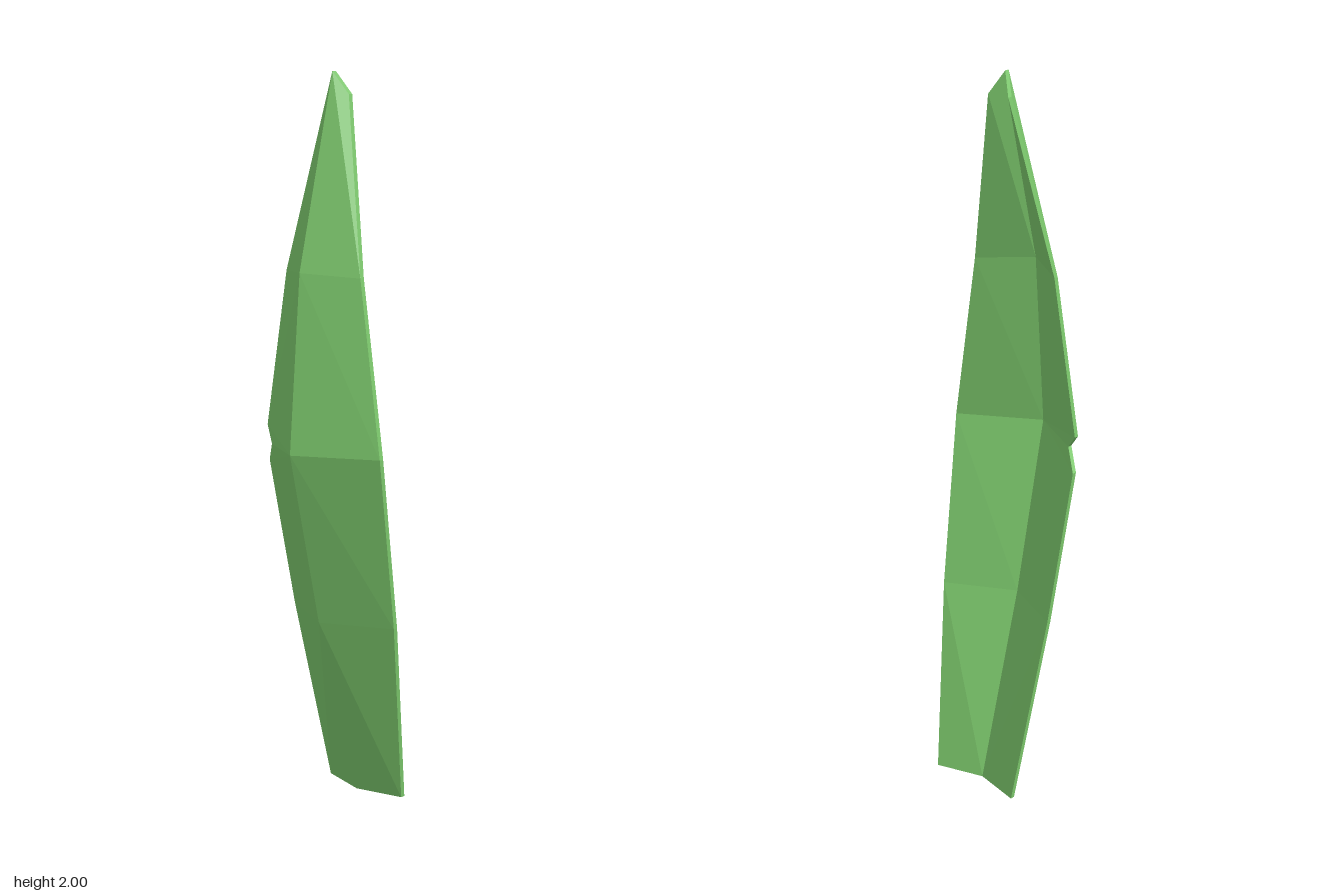
import * as THREE from 'three';

const THICKNESS = 0.013;

// Midrib points, base to tip
const rib = [
  [-0.01, 0, -0.11], [0, 0.52, 0.05], [0, 1, 0.157], [-0.012, 1.48, 0.108], [-0.018, 2, -0.02],
];

// Rim points of each half, each tied to a midrib point
const leftRim = [
  [0, [0.127, 0, -0.147]], [1, [0.19, 0.52, -0.046]], [2, [0.213, 1, 0.036]],
  [3, [0.127, 1.47, 0.022]], [4, [0.016, 1.94, -0.047]],
];
// The repeated midrib point carries the small notch
const rightRim = [
  [0, [-0.15, 0, -0.147]], [1, [-0.192, 0.52, -0.046]],
  [2, [-0.215, 0.94, 0.027]], [2, [-0.17, 0.995, 0.061]], [2, [-0.213, 1.04, 0.036]],
  [3, [-0.15, 1.47, 0.022]], [4, [-0.052, 1.94, -0.047]],
];

const behind = ([x, y, z]) => [x, y, z - THICKNESS];

// One half of the blade: front, back, rim and the two ends
function halfBlade(rim, flip) {
  const positions = [];
  const tri = (a, b, c) => {
    if (a === b || b === c || a === c) return;
    positions.push(...a, ...(flip ? [...c, ...b] : [...b, ...c]));
  };
  const quad = (a, b, c, d) => { tri(a, b, c); tri(a, c, d); };

  const ribBack = rib.map(behind);
  const rows = rim.map(([i, edge]) => ({
    rib: rib[i], edge, ribBack: ribBack[i], edgeBack: behind(edge),
  }));
  for (let i = 0; i < rows.length - 1; i++) {
    const p = rows[i], q = rows[i + 1];
    quad(q.rib, p.rib, p.edge, q.edge);
    quad(p.ribBack, q.ribBack, q.edgeBack, p.edgeBack);
    quad(p.edge, p.edgeBack, q.edgeBack, q.edge);
  }
  const base = rows[0], tip = rows[rows.length - 1];
  quad(base.rib, base.ribBack, base.edgeBack, base.edge);
  quad(tip.rib, tip.edge, tip.edgeBack, tip.ribBack);

  const geometry = new THREE.BufferGeometry();
  geometry.setAttribute('position', new THREE.Float32BufferAttribute(positions, 3));
  geometry.computeVertexNormals();
  return geometry;
}

export function createModel() {
  const leaf = new THREE.Group();
  leaf.name = 'leaf';
  const material = new THREE.MeshStandardMaterial({ color: 0x7cc86c, flatShading: true });

  const left = new THREE.Mesh(halfBlade(leftRim, false), material);
  left.name = 'leftHalfBlade';
  const right = new THREE.Mesh(halfBlade(rightRim, true), material);
  right.name = 'rightHalfBlade';

  leaf.add(left, right);
  return leaf;
}
